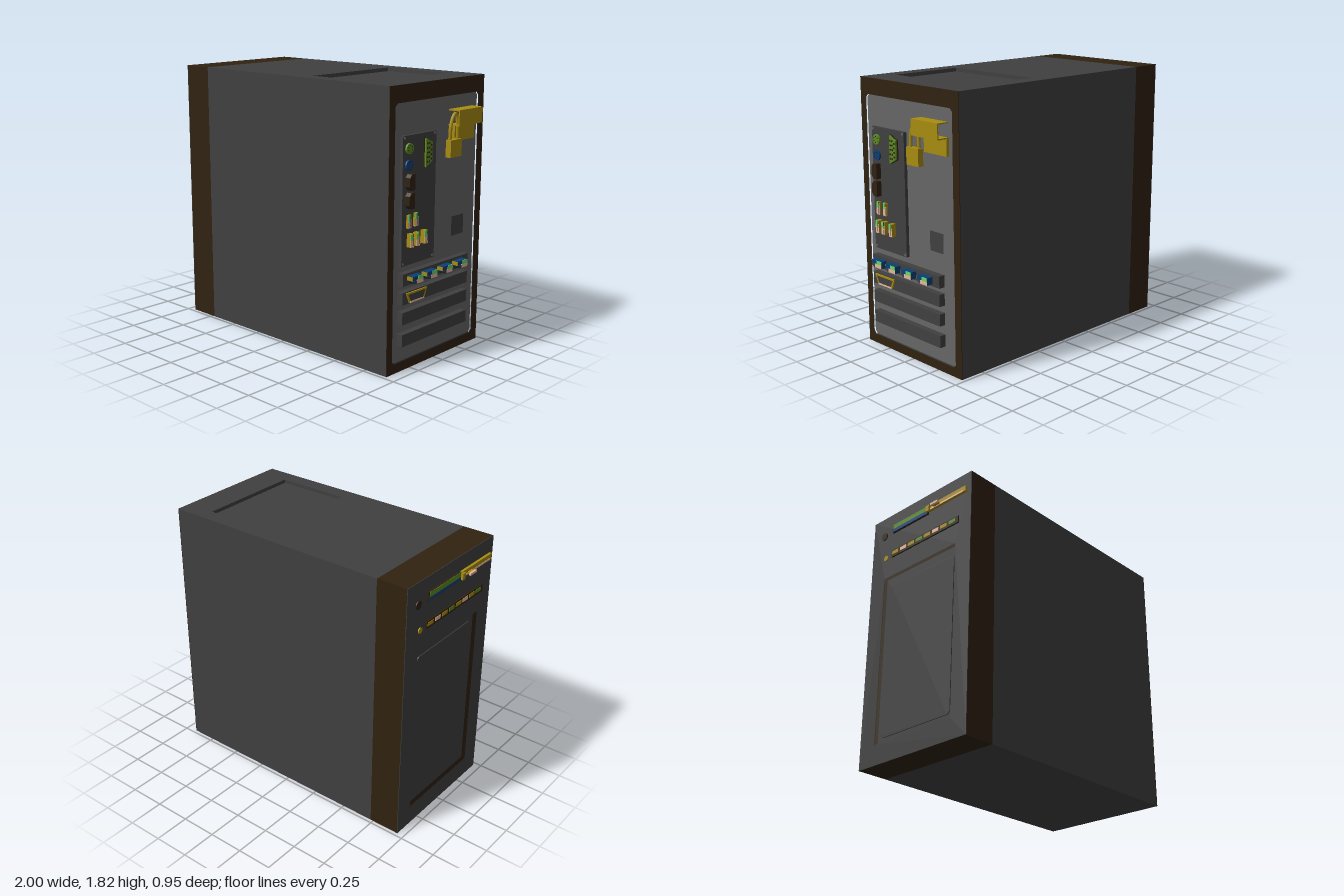
import * as THREE from 'three';

const mat = (name, color) => {
  const m = new THREE.MeshStandardMaterial({ color });
  m.name = name;
  return m;
};

export function createModel() {
  const gray = mat('charcoal', 0x404040), brown = mat('dark brown', 0x302210), panelGray = mat('panel gray', 0x666666);
  const yellow = mat('brass yellow', 0xa88c10), green = mat('bright green', 0x66d868), olive = mat('leaf green', 0x5c8a24);
  const blue = mat('deep blue', 0x0c3f78), pink = mat('pale pink', 0xe8b89c);
  const root = new THREE.Group();
  root.name = 'computerTower';

  const add = (name, geo, m) => {
    const mesh = new THREE.Mesh(geo, m);
    mesh.name = name;
    root.add(mesh);
    return mesh;
  };
  // box given by its limits
  const box = (name, m, x0, x1, y0, y1, z0, z1) =>
    add(name, new THREE.BoxGeometry(x1 - x0, y1 - y0, z1 - z0)
      .translate((x0 + x1) / 2, (y0 + y1) / 2, (z0 + z1) / 2), m);
  const rect = (z0, z1, y0, y1) => [[z0, y0], [z1, y0], [z1, y1], [z0, y1]];
  // outline with cut corners
  const cut = (z0, z1, y0, y1, c) => [[z0 + c, y0], [z1 - c, y0], [z1, y0 + c], [z1, y1 - c],
    [z1 - c, y1], [z0 + c, y1], [z0, y1 - c], [z0, y0 + c]];
  // outline of [z, y] points extruded along x
  const plate = (name, m, pts, x0, x1, holes = []) => {
    const v = p => p.map(([z, y]) => new THREE.Vector2(-z, y));
    const shape = new THREE.Shape(v(pts));
    holes.forEach(h => shape.holes.push(new THREE.Path(v(h))));
    const g = new THREE.ExtrudeGeometry(shape, { depth: x1 - x0, bevelEnabled: false });
    return add(name, g.rotateY(Math.PI / 2).translate(x0, 0, 0), m);
  };
  const disc = (name, m, z, y, r, x0, x1, n = 20) =>
    add(name, new THREE.CylinderGeometry(r, r, x1 - x0, n).rotateZ(Math.PI / 2).translate((x0 + x1) / 2, y, z), m);

  const W = 0.475, H = 1.82;
  const outer = rect(-W, W, 0, H);

  // case body with a shallow rectangular recess in its top
  box('caseBody', gray, -0.73, 0.86, 0, 1.795, -W, W);
  const top = new THREE.Shape([[-0.73, -W], [0.86, -W], [0.86, W], [-0.73, W]].map(p => new THREE.Vector2(...p)));
  top.holes.push(new THREE.Path([[0.19, -0.37], [0.19, 0.37], [0.71, 0.37], [0.71, -0.37]].map(p => new THREE.Vector2(...p))));
  add('topCover', new THREE.ExtrudeGeometry(top, { depth: 0.025, bevelEnabled: false })
    .rotateX(-Math.PI / 2).translate(0, 1.795, 0), gray);

  // connector end: shell, brown rim, panel with a socket opening
  const opening = cut(-0.417, 0.423, 0.062, 1.712, 0.02);
  plate('rearShell', gray, outer, 0.86, 0.919, [opening]);
  plate('rearRim', brown, outer, 0.919, 0.923, [opening]);
  plate('rearPanel', panelGray, opening, 0.86, 0.91, [rect(-0.305, -0.177, 0.785, 0.915)]);

  // drive end: brown shell, gray face and recessed door
  const door = [[-0.34, 0.14], [0.34, 0.14], [0.34, 1.33], [-0.34, 1.33]];
  box('bezelBody', brown, -0.915, -0.73, 0, H, -W, W);
  plate('bezelRing', brown, outer, -0.946, -0.915, [door]);
  plate('bezelFace', gray, outer, -0.95, -0.946, [door]);
  plate('doorPanel', gray, door, -0.922, -0.915);
  plate('doorInset', gray, cut(-0.31, 0.31, 0.18, 1.27, 0.02), -0.928, -0.922);

  // upper drive with tray, lower drive and buttons
  box('upperDrive', brown, -0.963, -0.95, 1.66, 1.72, -0.27, 0.08);
  box('upperDriveStrip', olive, -0.966, -0.963, 1.685, 1.718, -0.26, 0.08);
  box('upperDriveEdge', blue, -0.966, -0.963, 1.662, 1.685, -0.26, 0.08);
  box('driveTray', yellow, -0.968, -0.95, 1.675, 1.715, 0.08, 0.44);
  box('trayEdge', pink, -0.97, -0.968, 1.675, 1.687, 0.08, 0.42);
  box('trayStem', yellow, -0.982, -0.968, 1.665, 1.71, 0.08, 0.11);
  box('trayCatch', yellow, -0.985, -0.968, 1.68, 1.695, 0.15, 0.2);
  box('trayKnob', pink, -1, -0.985, 1.68, 1.695, 0.14, 0.21);
  box('lowerDrive', brown, -0.96, -0.95, 1.47, 1.52, -0.27, 0.37);
  for (let i = 0; i < 8; i++) {
    const z = -0.26 + i * 0.078;
    box('lowerDriveTab', [yellow, pink, yellow, olive][i % 4], -0.963, -0.96, 1.485, 1.51, z, z + 0.06);
  }
  disc('powerButton', brown, -0.36, 1.67, 0.028, -0.957, -0.95);
  disc('lowerButton', yellow, -0.33, 1.485, 0.02, -0.957, -0.95);

  // port plate with corner screws
  plate('portPlate', gray, rect(0.033, 0.358, 0.693, 1.51), 0.91, 0.932);
  for (const z of [0.047, 0.344]) for (const y of [0.707, 1.496]) disc('screw', panelGray, z, y, 0.009, 0.932, 0.935, 8);

  // round ports with pin holes
  for (const [m, y] of [[olive, 1.43], [blue, 1.326]]) {
    disc('roundPort', m, 0.304, y, 0.034, 0.932, 0.945);
    for (let i = 0; i < 6; i++) {
      const a = (i + 0.5) * Math.PI / 3;
      disc('roundPortPin', brown, 0.304 + 0.02 * Math.cos(a), y + 0.02 * Math.sin(a), 0.004, 0.945, 0.947, 8);
    }
  }

  // slanted display port with pin holes
  const vga = [[0.157, 1.478], [0.094, 1.449], [0.094, 1.329], [0.157, 1.295]];
  plate('displayPort', brown, vga.map(([z, y]) => [0.1255 + (z - 0.1255) * 1.12, 1.387 + (y - 1.387) * 1.06]), 0.932, 0.94);
  plate('displayPortFace', olive, vga, 0.94, 0.952);
  [[0.145, 5], [0.126, 5], [0.107, 4]].forEach(([z, n]) => {
    for (let i = 0; i < n; i++) disc('displayPin', brown, z, 1.387 + (i - (n - 1) / 2) * 0.029, 0.007, 0.952, 0.954, 8);
  });

  // two dark sockets with cut corners
  for (const y of [1.174, 1.058])
    plate('darkSocket', brown, [[0.278, y], [0.312, y], [0.33, y + 0.022], [0.33, y + 0.08], [0.312, y + 0.1], [0.278, y + 0.1]], 0.932, 0.968);

  // small rectangular ports
  for (const [z, y, x] of [[0.3, 0.932, 0.945], [0.232, 0.935, 0.945], [0.292, 0.812, 0.963], [0.232, 0.812, 0.963], [0.155, 0.812, 0.963]]) {
    box('smallPort', yellow, 0.932, x, y, y + 0.085, z - 0.016, z + 0.016);
    box('smallPortTop', green, x, x + 0.003, y + 0.045, y + 0.085, z - 0.004, z + 0.016);
    box('smallPortBottom', pink, x, x + 0.003, y, y + 0.045, z - 0.004, z + 0.016);
    box('smallPortTongue', gray, x, x + 0.003, y + 0.01, y + 0.085, z - 0.009, z - 0.004);
    box('smallPortEdge', pink, x, x + 0.003, y, y + 0.06, z - 0.016, z - 0.009);
  }

  // expansion slot covers
  for (const y of [0.57, 0.449, 0.319, 0.174]) box('slotCover', gray, 0.91, 0.953, y, y + 0.08, -0.307, 0.365);

  // four plugs on the top slot
  for (const z of [0.27, 0.126, -0.034, -0.193]) {
    plate('plug', blue, [[z - 0.05, 0.585], [z + 0.03, 0.585], [z + 0.05, 0.605], [z + 0.05, 0.633], [z - 0.05, 0.633]], 0.953, 0.997);
    box('plugSide', yellow, 0.953, 0.997, 0.605, 0.631, z + 0.05, z + 0.053);
    box('plugFaceTop', green, 0.997, 1, 0.609, 0.633, z - 0.05, z);
    box('plugFaceBottom', pink, 0.997, 1, 0.585, 0.609, z - 0.05, z + 0.015);
    plate('plugFaceCorner', gray, [[z + 0.015, 0.585], [z + 0.03, 0.585], [z + 0.05, 0.605], [z + 0.015, 0.605]], 0.997, 1);
  }

  // tapered port ring on the second slot
  plate('taperedPort', yellow, [[0.335, 0.522], [0.133, 0.522], [0.16, 0.454], [0.305, 0.454]], 0.953, 0.963,
    [[[0.318, 0.511], [0.15, 0.511], [0.171, 0.465], [0.294, 0.465]]]);
  plate('taperedPortLip', pink, [[0.296, 0.465], [0.169, 0.465], [0.164, 0.455], [0.302, 0.455]], 0.963, 0.966);

  // lock bracket: open square tube above a flat hasp
  const [b0, b1] = [-0.366, -0.118];
  box('bracketOuter', yellow, 0.988, 0.996, 1.522, 1.625, b0, b1);
  box('bracketTop', yellow, 0.91, 0.988, 1.617, 1.625, b0, b1);
  box('bracketBottom', yellow, 0.91, 0.988, 1.522, 1.53, b0, b1);
  box('hasp', yellow, 0.91, 0.93, 1.415, 1.522, -0.37, -0.16);

  // padlock
  box('padlockBody', yellow, 0.943, 0.983, 1.328, 1.44, -0.167, -0.052);
  const path = new THREE.CatmullRomCurve3([[1.43, -0.07], [1.52, -0.075], [1.585, -0.1], [1.605, -0.125], [1.58, -0.14], [1.52, -0.147], [1.43, -0.15]]
    .map(([y, z]) => new THREE.Vector3(0.96, y, z)));
  add('padlockShackle', new THREE.TubeGeometry(path, 24, 0.011, 8), yellow);

  return root;
}
